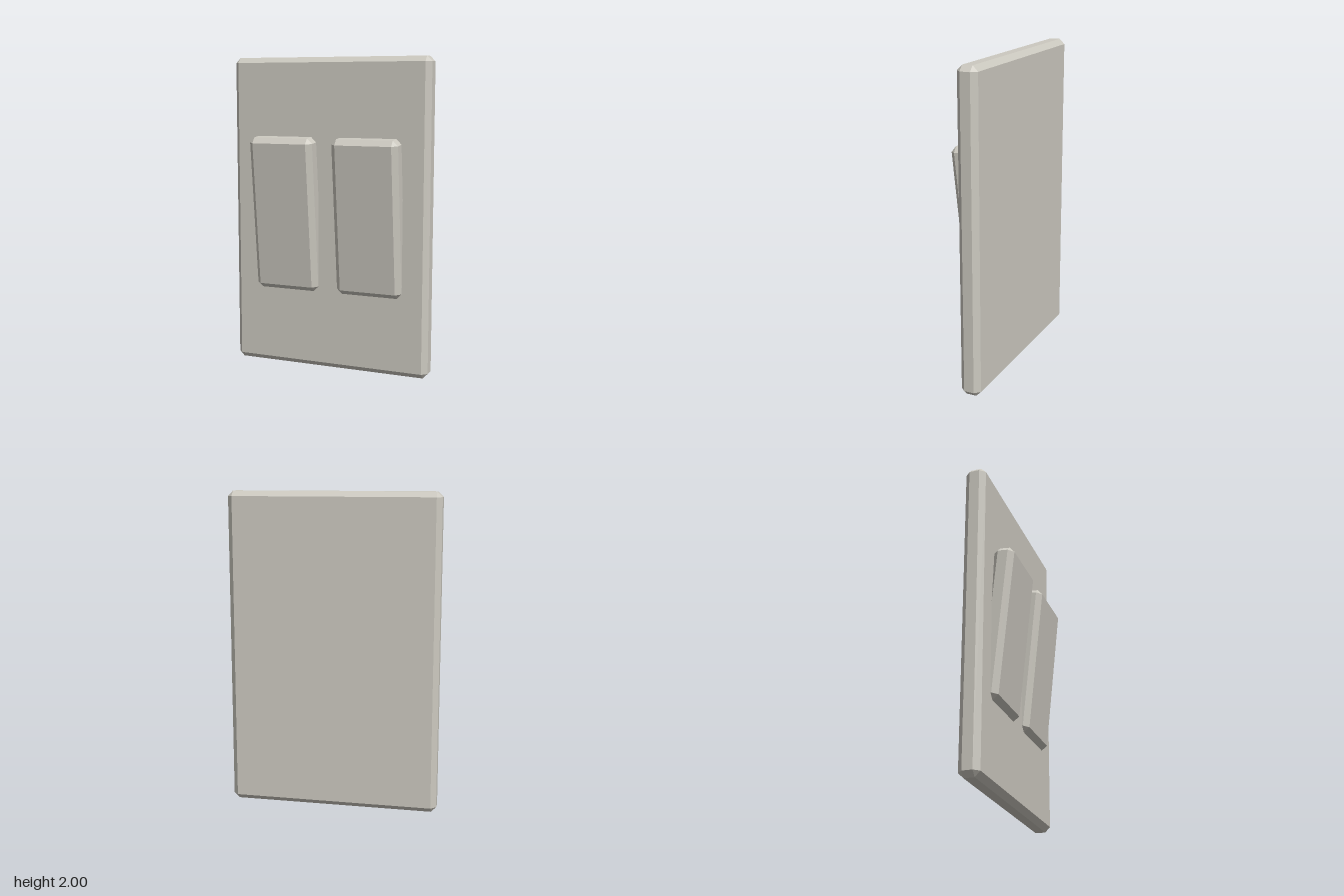
import * as THREE from 'three';
import { ConvexGeometry } from 'three/addons/geometries/ConvexGeometry.js';

const BEVEL = 0.033;

// Box with every edge chamfered and every corner cut to a triangle
function chamferedBox(width, height, depth, bevel) {
  const points = [];
  for (const sx of [-1, 1]) for (const sy of [-1, 1]) for (const sz of [-1, 1]) {
    const x = width / 2, y = height / 2, z = depth / 2;
    points.push(
      new THREE.Vector3(sx * x, sy * (y - bevel), sz * (z - bevel)),
      new THREE.Vector3(sx * (x - bevel), sy * y, sz * (z - bevel)),
      new THREE.Vector3(sx * (x - bevel), sy * (y - bevel), sz * z)
    );
  }
  return new ConvexGeometry(points);
}

export function createModel() {
  const model = new THREE.Group();
  model.name = 'doubleLightSwitch';

  const plastic = new THREE.MeshStandardMaterial({ color: 0xccc9c0 });
  plastic.name = 'warm grey plastic';

  // Wall plate
  const plate = new THREE.Mesh(chamferedBox(1.332, 2, 0.13, BEVEL), plastic);
  plate.name = 'wallPlate';
  plate.position.set(0, 1, -0.066);
  model.add(plate);

  // Pair of rockers, tilted so their tops stand proud of the plate
  const rockerShape = chamferedBox(0.435, 0.997, 0.13, BEVEL);
  for (const side of [-1, 1]) {
    const rocker = new THREE.Mesh(rockerShape, plastic);
    rocker.name = side > 0 ? 'leftRocker' : 'rightRocker';
    rocker.position.set(side * 0.283, 1.002, 0.0185);
    rocker.rotation.x = THREE.MathUtils.degToRad(5.8);
    model.add(rocker);
  }

  return model;
}
